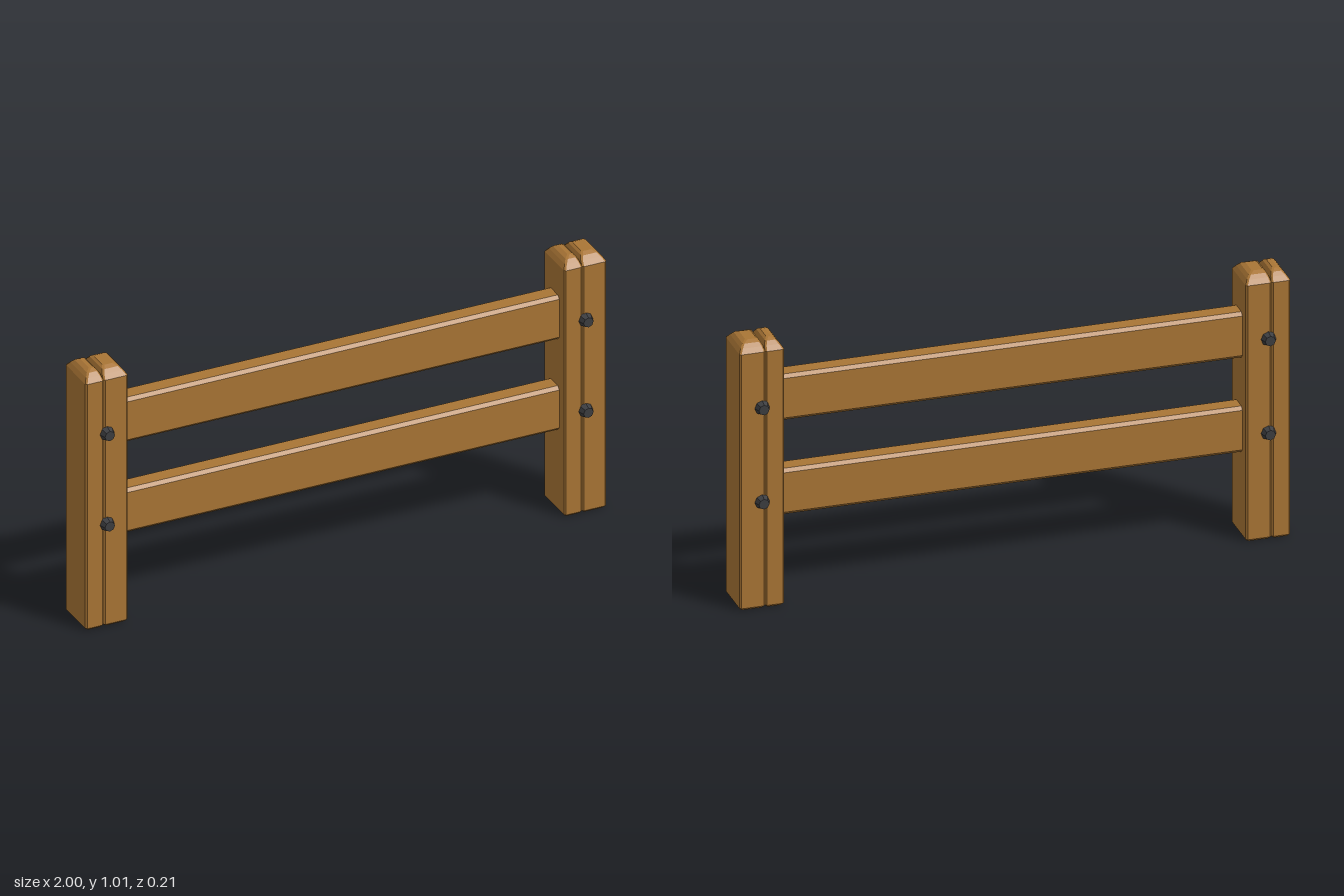
import * as THREE from 'three';

const wood = new THREE.MeshStandardMaterial({ color: 0xa97535 });
wood.name = 'wood';
const iron = new THREE.MeshStandardMaterial({ color: 0x3c3d40 });
iron.name = 'dark iron';

const POST_X = 0.919, HALF = 0.081, SEAM = -0.012;

// Corner-cut rectangle, counter-clockwise in (a, b)
function cutRect(a0, a1, b0, b1, c) {
  return [[a0 + c, b0], [a1 - c, b0], [a1, b0 + c], [a1, b1 - c],
    [a1 - c, b1], [a0 + c, b1], [a0, b1 - c], [a0, b0 + c]];
}

// Upright half-timber: stacked sections, bevelled foot and rounded top
function timberGeometry(x0, x1, outerLeft) {
  // y, inset on outer side, inset on seam side, inset front and back
  const rows = [
    [0, 0.007, 0.006, 0.007],
    [0.008, 0, 0, 0],
    [0.974, 0, 0, 0],
    [0.990, 0.010, 0.003, 0.015],
    [1.002, 0.020, 0.009, 0.028],
    [1.009, 0.035, 0.018, 0.045],
  ];
  const rings = rows.map(([y, outer, seam, dz]) => {
    const l = x0 + (outerLeft ? outer : seam), r = x1 - (outerLeft ? seam : outer);
    return cutRect(l, r, -0.082 + dz, 0.082 - dz, 0.006).map(([x, z]) => [x, y, z]);
  });
  const pos = [];
  const tri = (a, b, c) => pos.push(...a, ...b, ...c);
  for (let i = 0; i < rings.length - 1; i++) {
    for (let j = 0; j < 8; j++) {
      const k = (j + 1) % 8;
      const a = rings[i][j], b = rings[i][k], c = rings[i + 1][k], d = rings[i + 1][j];
      tri(a, c, b);
      tri(a, d, c);
    }
  }
  const foot = rings[0], top = rings[rings.length - 1];
  for (let j = 1; j < 7; j++) {
    tri(foot[0], foot[j], foot[j + 1]);
    tri(top[0], top[j + 1], top[j]);
  }
  const g = new THREE.BufferGeometry();
  g.setAttribute('position', new THREE.Float32BufferAttribute(pos, 3));
  g.computeVertexNormals();
  return g;
}

function add(parent, name, geometry, material, x = 0, y = 0, z = 0) {
  const mesh = new THREE.Mesh(geometry, material);
  mesh.name = name;
  mesh.position.set(x, y, z);
  parent.add(mesh);
  return mesh;
}

export function createModel() {
  const model = new THREE.Group();
  model.name = 'fence';

  // Posts: a narrow and a wide timber each, with bolts front and back
  const narrow = timberGeometry(-HALF, SEAM, true);
  const wide = timberGeometry(SEAM, HALF, false);
  const bolt = new THREE.CylinderGeometry(0.019, 0.028, 0.026, 8).toNonIndexed();
  bolt.computeVertexNormals();
  for (const side of [-1, 1]) {
    const post = new THREE.Group();
    post.name = side > 0 ? 'leftPost' : 'rightPost';
    post.position.x = side * POST_X;
    add(post, 'narrowTimber', narrow, wood);
    add(post, 'wideTimber', wide, wood);
    for (const y of [0.405, 0.763]) {
      for (const face of [-1, 1]) {
        add(post, face > 0 ? 'frontBolt' : 'backBolt', bolt, iron, 0, y, face * 0.092)
          .rotation.x = face * Math.PI / 2;
      }
    }
    model.add(post);
  }

  // Rails: bevelled planks running between the posts
  const section = new THREE.Shape(
    cutRect(-0.04, 0.04, -0.087, 0.087, 0.012).map(([a, b]) => new THREE.Vector2(a, b)));
  const rail = new THREE.ExtrudeGeometry(section, { depth: 1.7, bevelEnabled: false });
  rail.translate(0, 0, -0.85);
  rail.rotateY(Math.PI / 2);
  add(model, 'lowerRail', rail, wood, 0, 0.408, 0);
  add(model, 'upperRail', rail, wood, 0, 0.767, 0);

  return model;
}
